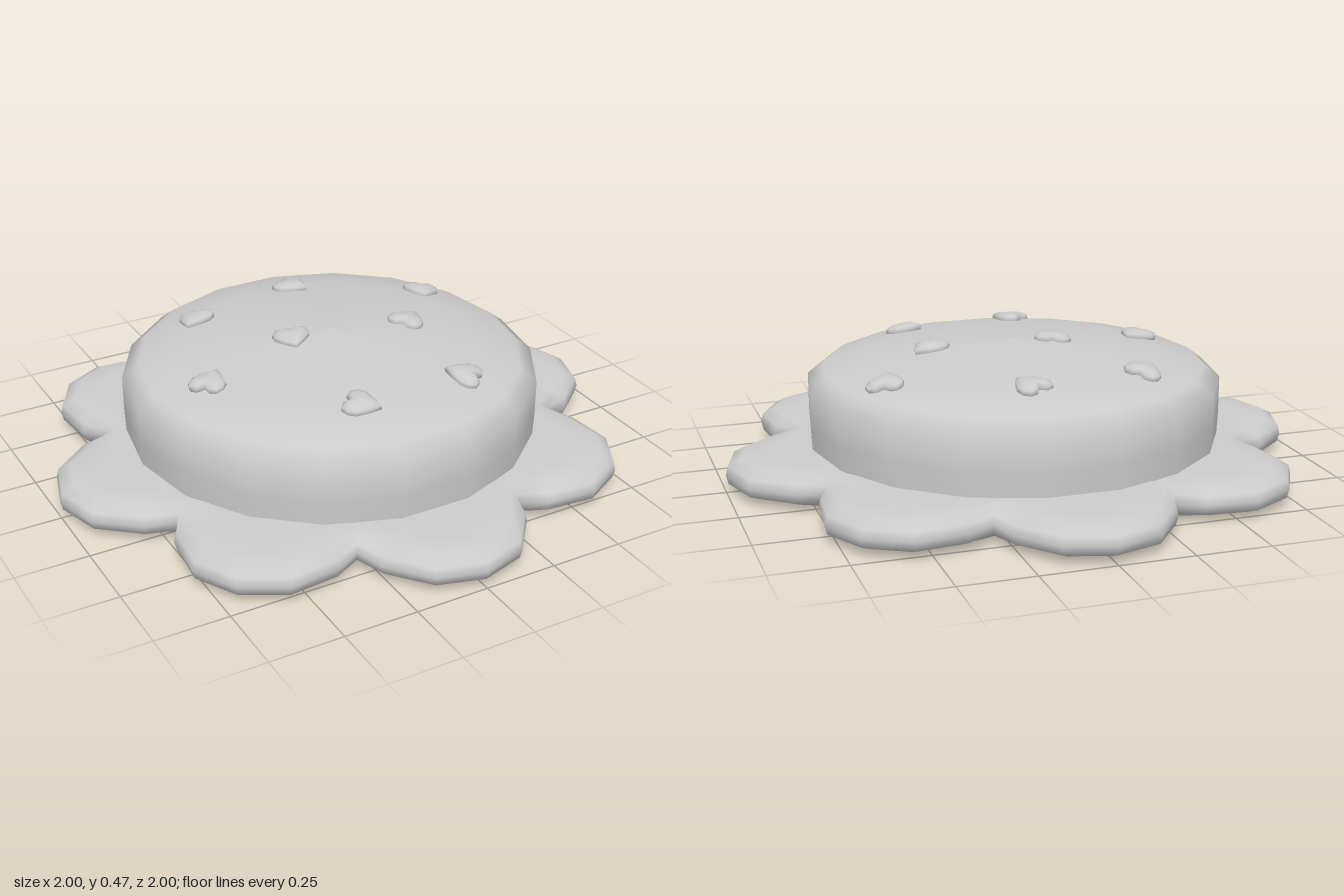
import * as THREE from 'three';

const material = new THREE.MeshStandardMaterial({ color: 0xcccccc });

// Smooth closed skin over stacked rings (bottom to top), each end closed by a fan
function loft(rings, bottomY, topY) {
  const n = rings[0].length, pos = [], index = [];
  rings.forEach(ring => ring.forEach(p => pos.push(...p)));
  const low = rings.length * n, high = low + 1, last = (rings.length - 1) * n;
  pos.push(0, bottomY, 0, 0, topY, 0);
  for (let i = 0; i < n; i++) {
    const j = (i + 1) % n;
    for (let k = 0; k < last; k += n) {
      index.push(k + i, k + j, k + n + j, k + i, k + n + j, k + n + i);
    }
    index.push(low, j, i, last + i, last + j, high);
  }
  const g = new THREE.BufferGeometry();
  g.setAttribute('position', new THREE.Float32BufferAttribute(pos, 3));
  g.setIndex(index);
  g.computeVertexNormals();
  return g;
}

// Outline of eight round petals, pulled in by an inset
function petalRing(inset, y) {
  const ring = [];
  for (let p = 0; p < 8; p++) {
    const turn = p * Math.PI / 4;
    const add = (x, z) => ring.push([
      x * Math.cos(turn) + z * Math.sin(turn), y, z * Math.cos(turn) - x * Math.sin(turn)]);
    for (const deg of [-68, -33, 0, 33, 68]) {
      const a = THREE.MathUtils.degToRad(deg), r = 0.29 - inset;
      add(r * Math.sin(a), 0.71 + r * Math.cos(a));
    }
    const valley = 0.776 - inset * 0.7;
    add(valley * Math.sin(Math.PI / 8), valley * Math.cos(Math.PI / 8));
  }
  return ring;
}

// Half of the heart outline from tip to notch, [x, z]
const half = [[0, 0.075], [0.034, 0.042], [0.06, 0.008], [0.064, -0.022], [0.05, -0.046], [0.024, -0.05], [0, -0.03]];
const heart = [...half, ...half.slice(1, -1).reverse().map(([x, z]) => [-x, z])];
const heartRing = (s, y) => heart.map(([x, z]) => [x * s, y, z * s]);

// Dome profile, [radius, height]
const profile = [[0.705, 0.08], [0.71, 0.2], [0.71, 0.32], [0.655, 0.363], [0.5, 0.4], [0.25, 0.432], [0, 0.453]];
function domeAt(r) {
  const i = profile.findIndex(([pr], k) => k > 3 && pr <= r);
  const [r0, y0] = profile[i - 1], [r1, y1] = profile[i];
  const slope = (y1 - y0) / (r1 - r0);
  return { y: y1 + slope * (r - r1), slope };
}

export function createModel() {
  const group = new THREE.Group();
  const add = (geometry, name) => {
    const mesh = new THREE.Mesh(geometry, material);
    mesh.name = name;
    group.add(mesh);
    return mesh;
  };

  // Scalloped petal base
  add(loft([
    petalRing(0.16, 0), petalRing(0.05, 0.012), petalRing(0.008, 0.03), petalRing(0, 0.06),
    petalRing(0.008, 0.09), petalRing(0.05, 0.112), petalRing(0.14, 0.12),
  ], 0, 0.12), 'petalBase');

  // Eighteen-sided cushion with a shallow domed top
  add(new THREE.LatheGeometry(profile.map(p => new THREE.Vector2(...p)), 18, Math.PI / 2), 'dome');

  // Puffy hearts lying on the dome: x, z, then the direction of the tip in x and z
  const heartGeometry = loft([
    heartRing(0.9, -0.014), heartRing(1, 0.002), heartRing(0.95, 0.014), heartRing(0.65, 0.023),
  ], -0.014, 0.027);
  const spots = [
    [-0.325, -0.385, -0.7, 0.7], [0.085, -0.455, 0.45, 0.9], [0.505, -0.225, -0.4, 0.9],
    [-0.135, -0.02, -0.25, 0.95], [0.285, 0.035, 0.8, -0.55], [-0.49, 0.075, 0.75, -0.65],
    [-0.135, 0.44, 0.7, 0.7], [0.275, 0.43, -0.72, -0.68],
  ];
  const up = new THREE.Vector3(0, 1, 0);
  spots.forEach(([x, z, tx, tz]) => {
    const r = Math.hypot(x, z), { y, slope } = domeAt(r);
    const mesh = add(heartGeometry, 'heart');
    mesh.position.set(x, y, z);
    const normal = new THREE.Vector3(-slope * x / r, 1, -slope * z / r).normalize();
    mesh.quaternion.setFromUnitVectors(up, normal)
      .multiply(new THREE.Quaternion().setFromAxisAngle(up, Math.atan2(tx, tz)));
  });
  return group;
}
